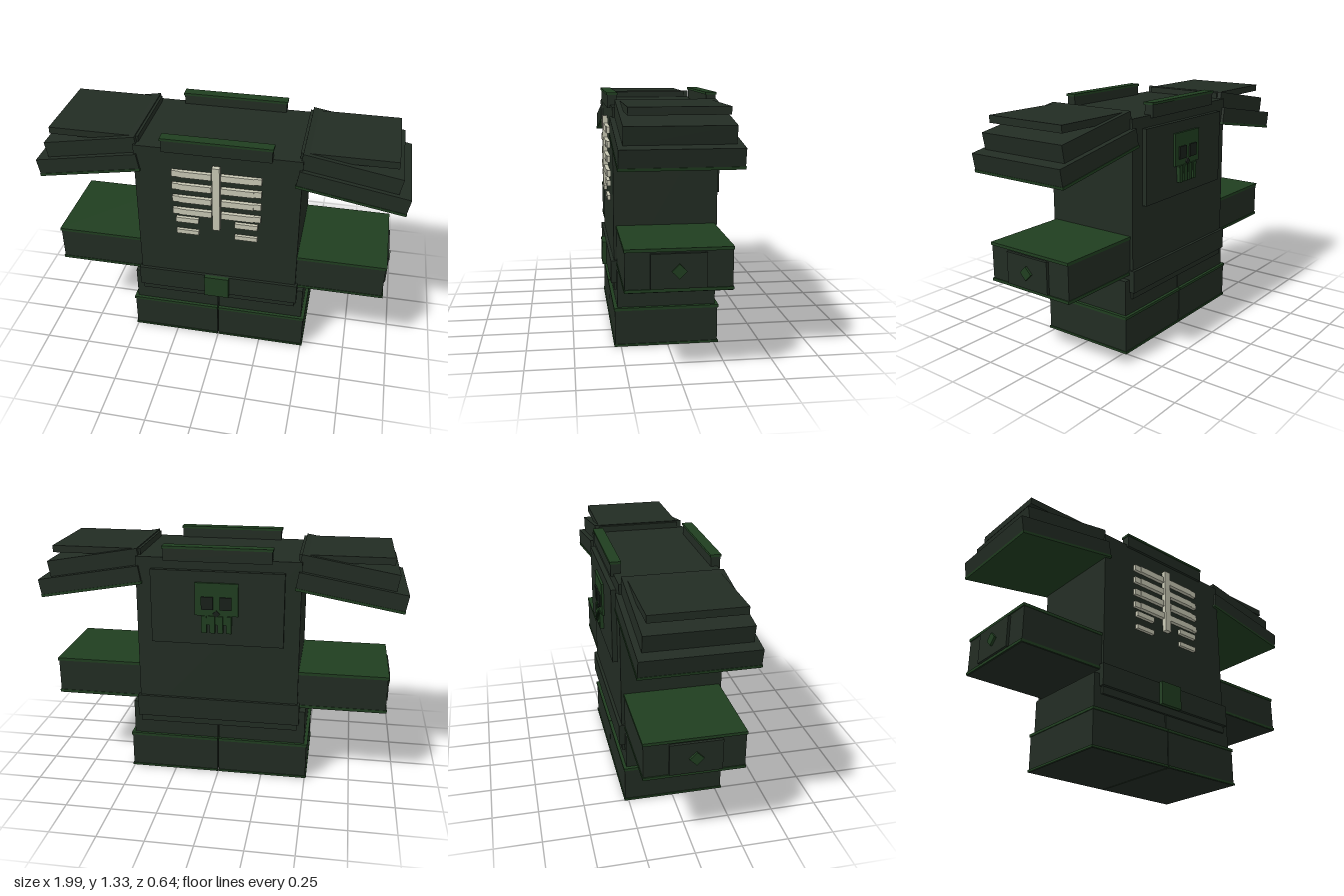
import * as THREE from 'three';

export function createModel() {
  const model = new THREE.Group();
  const mat = (name, color, side = THREE.FrontSide) => {
    const m = new THREE.MeshStandardMaterial({ color, side });
    m.name = name;
    return m;
  };
  const cloth = mat('dark cloth', 0x222c23);
  const green = mat('green trim', 0x203e20);
  const bone = mat('bone', 0xc8c8b4);
  const socket = mat('dark socket', 0x182019);

  // Box given by its extents on each axis
  const box = (name, m, x0, x1, y0, y1, z0, z1, parent = model) => {
    const mesh = new THREE.Mesh(new THREE.BoxGeometry(Math.abs(x1 - x0), y1 - y0, z1 - z0), m);
    mesh.position.set((x0 + x1) / 2, (y0 + y1) / 2, (z0 + z1) / 2);
    mesh.name = name;
    parent.add(mesh);
    return mesh;
  };

  // Torso, belt and buckle
  box('torso', cloth, -0.445, 0.445, 0.3, 1.265, -0.27, 0.28);
  box('belt', cloth, -0.457, 0.457, 0.34, 0.462, -0.287, 0.297);
  box('buckle', green, -0.07, 0.07, 0.333, 0.465, 0.296, 0.32);

  // Front and back collars with green caps
  for (const [z0, z1] of [[0.245, 0.295], [-0.284, -0.233]]) {
    box('collar', cloth, -0.29, 0.29, 1.25, 1.317, z0, z1);
    box('collarCap', green, -0.295, 0.295, 1.317, 1.33, z0 - 0.004, z1 + 0.004);
  }

  for (const s of [1, -1]) {
    // Shoulder pads: two tilted layers and a level top plate
    const shoulder = new THREE.Group();
    shoulder.name = 'shoulderPad';
    model.add(shoulder);
    const layer = (cx, cy, len, h, z0, z1, trim) => {
      const pad = new THREE.Group();
      pad.position.set(s * cx, cy, 0);
      pad.rotation.z = -s * THREE.MathUtils.degToRad(10);
      shoulder.add(pad);
      box('padLayer', cloth, -len / 2, len / 2, -h / 2 + trim, h / 2, z0, z1, pad);
      if (trim) box('padTrim', green, -len / 2 - 0.002, len / 2 + 0.002, -h / 2, -h / 2 + trim, z0 - 0.003, z1 + 0.003, pad);
    };
    layer(0.704, 1.117, 0.575, 0.1, -0.286, 0.293, 0.014);
    layer(0.685, 1.212, 0.515, 0.095, -0.256, 0.267, 0);
    box('padTop', cloth, s * 0.425, s * 0.917, 1.26, 1.298, -0.232, 0.242, shoulder);

    // Arms with trims, end plate and diamond
    box('arm', cloth, s * 0.43, s * 0.926, 0.434, 0.635, -0.253, 0.264);
    box('armTopTrim', green, s * 0.43, s * 0.932, 0.632, 0.648, -0.256, 0.267);
    box('armBottomTrim', green, s * 0.43, s * 0.932, 0.437, 0.452, -0.256, 0.267);
    box('armPlate', cloth, s * 0.92, s * 0.941, 0.455, 0.625, -0.126, 0.144);
    const gem = box('armDiamond', green, s * 0.935, s * 0.953, 0.514, 0.566, -0.018, 0.034);
    gem.rotation.x = Math.PI / 4;

    // Legs and boots, with a slim gap between them
    box('thigh', cloth, s * 0.003, s * 0.49, 0.2, 0.41, -0.256, 0.267);
    box('boot', cloth, s * 0.003, s * 0.504, 0, 0.205, -0.268, 0.281);
    box('bootTopTrim', green, s * 0.003, s * 0.509, 0.2, 0.215, -0.273, 0.286);
    box('bootBottomTrim', green, s * 0.003, s * 0.509, 0.002, 0.014, -0.273, 0.286);

    // Ribs: four long with set back tips, then two short
    for (let i = 0; i < 4; i++) {
      const y = 1.128 - i * 0.079;
      box('rib', bone, s * 0.026, s * 0.2, y - 0.018, y + 0.018, 0.275, 0.302);
      box('ribTip', bone, s * 0.2, s * 0.24, y - 0.018, y + 0.018, 0.275, 0.297);
    }
    box('shortRib', bone, s * 0.1, s * 0.224, 0.82, 0.85, 0.275, 0.299);
    box('lowestRib', bone, s * 0.1, s * 0.224, 0.743, 0.769, 0.275, 0.297);
  }
  box('sternum', bone, -0.02, 0.02, 0.798, 1.188, 0.275, 0.307);

  // Back panel with a raised skull emblem
  box('backPanel', cloth, -0.36, 0.36, 0.798, 1.205, -0.297, -0.265);
  const skull = new THREE.Group();
  skull.name = 'skullEmblem';
  model.add(skull);
  box('cranium', green, -0.117, 0.117, 0.965, 1.145, -0.31, -0.29, skull);
  box('jaw', green, -0.083, 0.083, 0.915, 0.966, -0.312, -0.29, skull);
  for (const x of [-0.067, -0.022, 0.022, 0.067]) {
    box('tooth', green, x - 0.014, x + 0.014, 0.87, 0.965, -0.318, -0.29, skull);
  }
  for (const x of [-0.05, 0.05]) {
    box('eyeSocket', socket, x - 0.032, x + 0.032, 1.0, 1.07, -0.318, -0.309, skull);
  }
  const nose = box('nose', socket, -0.014, 0.014, 0.964, 0.992, -0.316, -0.309, skull);
  nose.rotation.z = Math.PI / 4;

  return model;
}
